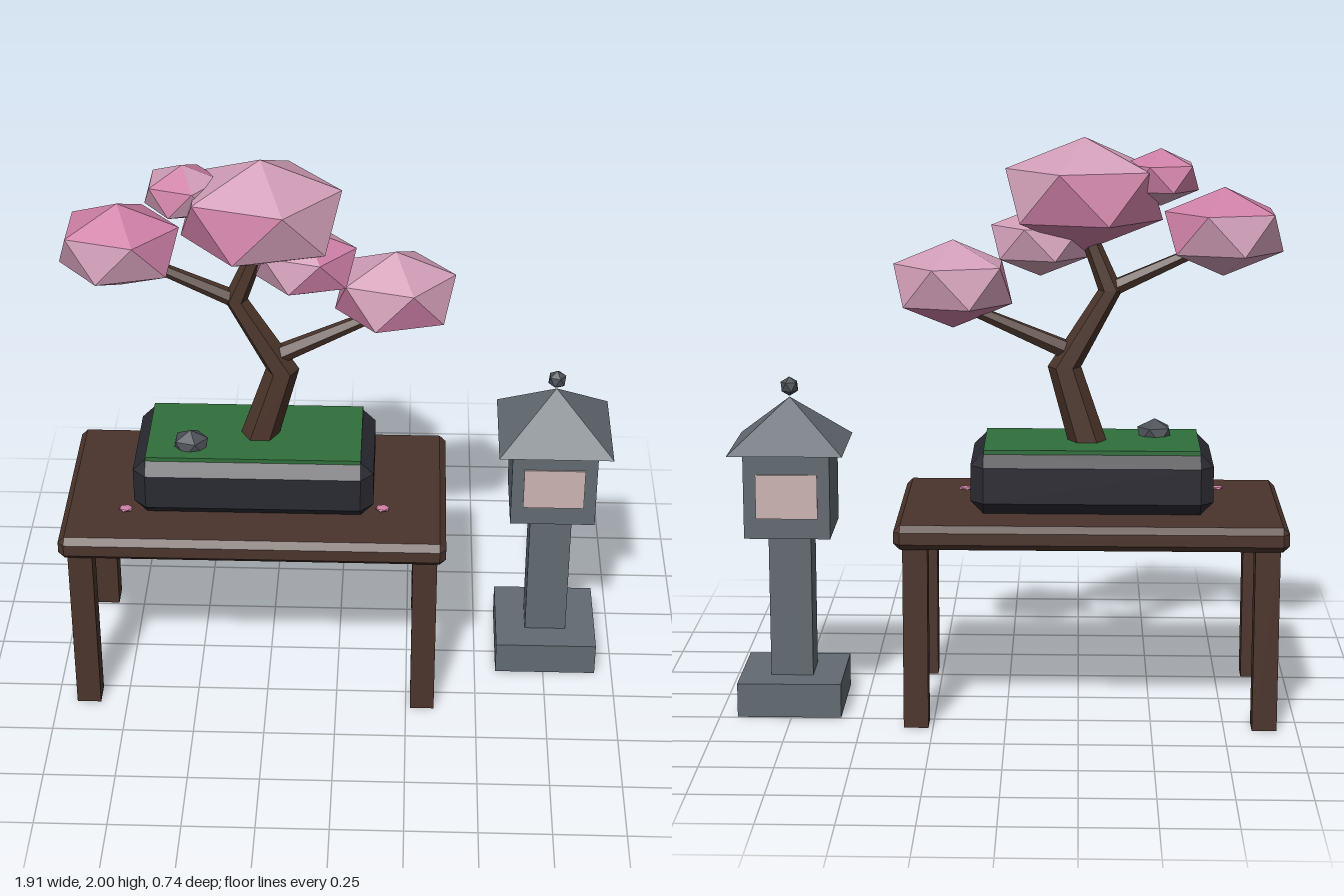
import * as THREE from 'three';
import { ConvexGeometry } from 'three/addons/geometries/ConvexGeometry.js';

const material = (name, color, side = THREE.FrontSide) =>
  new THREE.MeshStandardMaterial({ name, color, side, flatShading: true });

// Box with every edge and corner cut off
function chamferedBox(w, h, d, c) {
  const points = [];
  for (const x of [-1, 1]) for (const y of [-1, 1]) for (const z of [-1, 1]) {
    for (const axis of [0, 1, 2]) {
      const cut = [0, 1, 2].map((i) => (i === axis ? 0 : c));
      points.push(new THREE.Vector3(x * (w / 2 - cut[0]), y * (h / 2 - cut[1]), z * (d / 2 - cut[2])));
    }
  }
  return new ConvexGeometry(points);
}

// Twenty-sided lump standing on one of its corners
function lump(rx, ry, rz) {
  const g = new THREE.IcosahedronGeometry(1, 0);
  g.rotateX(-Math.atan2((1 + Math.sqrt(5)) / 2, 1));
  g.rotateY(Math.PI / 2);
  g.scale(rx, ry, rz);
  return g;
}

export function createModel() {
  const model = new THREE.Group();
  model.name = 'bonsaiDisplay';

  const wood = material('tableWood', 0x4b342c);
  const bark = material('bark', 0x4c352b, THREE.DoubleSide);
  const glaze = material('potGlaze', 0x2a2a32);
  const moss = material('moss', 0x306f3c);
  const stone = material('lanternStone', 0x626a71);
  const darkStone = material('darkStone', 0x4c5157);
  const paper = material('windowPaper', 0xccb5b3);
  const paleBlossom = material('paleBlossom', 0xd09db6);
  const deepBlossom = material('deepBlossom', 0xcd7fa5);

  function add(name, geometry, mat, x, y, z, parent = model) {
    const mesh = new THREE.Mesh(geometry, mat);
    mesh.name = name;
    mesh.position.set(x, y, z);
    parent.add(mesh);
    return mesh;
  }
  const box = (name, w, h, d, mat, x, y, z, parent) =>
    add(name, new THREE.BoxGeometry(w, h, d), mat, x, y, z, parent);

  // Table
  const table = new THREE.Group();
  table.name = 'table';
  table.position.x = -0.29;
  model.add(table);
  add('tableTop', chamferedBox(1.34, 0.085, 0.74, 0.022), wood, 0, 0.678, 0, table);
  for (const sx of [-1, 1]) for (const sz of [-1, 1]) {
    box('tableLeg', 0.085, 0.637, 0.085, wood, sx * 0.598, 0.3185, sz * 0.3, table);
  }

  // Pot with its bed of moss
  add('pot', chamferedBox(0.835, 0.215, 0.44, 0.045), glaze, -0.292, 0.8275, 0);
  box('mossBed', 0.745, 0.018, 0.36, moss, -0.292, 0.936, 0);
  add('rock', lump(0.068, 0.055, 0.06), darkStone, -0.513, 0.948, 0.09);

  // Trunk: six-sided rings, listed from the top down as x, y, z, radius
  const rings = [[-0.27, 1.68, 0, 0.03], [-0.352, 1.475, -0.005, 0.042], [-0.195, 1.205, 0, 0.058], [-0.278, 0.935, 0, 0.068]];
  const trunk = new THREE.CylinderGeometry(1, 1, 1, 6, rings.length - 1);
  const p = trunk.attributes.position;
  const lastRow = rings.length - 1;
  for (let i = 0; i < p.count; i++) {
    const [x, y, z, r] = rings[Math.round((0.5 - p.getY(i)) * lastRow)];
    p.setXYZ(i, x + p.getZ(i) * r, y, z - p.getX(i) * r);
  }
  trunk.computeVertexNormals();
  add('trunk', trunk, bark, 0, 0, 0);

  // Branches
  function branch(name, from, to, r0, r1) {
    const a = new THREE.Vector3(...from);
    const b = new THREE.Vector3(...to);
    const dir = b.clone().sub(a);
    const mid = a.clone().add(b).multiplyScalar(0.5);
    const mesh = add(name, new THREE.CylinderGeometry(r1, r0, dir.length(), 6), bark, mid.x, mid.y, mid.z);
    mesh.quaternion.setFromUnitVectors(new THREE.Vector3(0, 1, 0), dir.normalize());
  }
  branch('rightBranch', [-0.35, 1.475, 0], [-0.7, 1.635, 0], 0.03, 0.018);
  branch('leftBranch', [-0.2, 1.265, 0], [0.15, 1.42, -0.03], 0.034, 0.02);

  // Blossom clusters: centre, then radii
  const clusters = [
    [-0.26, 1.805, 0, 0.302, 0.195, 0.255],
    [-0.74, 1.678, 0, 0.229, 0.153, 0.194],
    [0.19, 1.498, -0.03, 0.229, 0.153, 0.194],
    [-0.52, 1.867, -0.025, 0.145, 0.098, 0.135],
    [-0.11, 1.64, 0.03, 0.19, 0.122, 0.16],
  ];
  clusters.forEach(([x, y, z, rx, ry, rz], n) => {
    const g = lump(rx, ry, rz);
    g.clearGroups();
    for (let f = 0; f < 20; f++) g.addGroup(f * 3, 3, (f * 7 + n) % 5 % 2);
    add('blossomCluster', g, [paleBlossom, deepBlossom], x, y, z);
  });

  // Fallen petals
  for (const [x, z] of [[-0.74, 0.18], [0.157, 0.15]]) {
    add('fallenPetal', lump(0.027, 0.008, 0.022), deepBlossom, x, 0.732, z);
  }

  // Stone lantern
  const lantern = new THREE.Group();
  lantern.name = 'stoneLantern';
  lantern.position.set(0.757, 0, -0.063);
  model.add(lantern);
  box('lanternBase', 0.362, 0.12, 0.362, stone, 0, 0.06, 0, lantern);
  box('lanternPost', 0.148, 0.52, 0.148, stone, 0, 0.378, 0, lantern);
  box('lanternHousing', 0.298, 0.302, 0.298, stone, 0, 0.785, 0, lantern);
  for (const s of [-1, 1]) {
    box('lanternWindow', 0.213, 0.155, 0.008, paper, 0, 0.783, s * 0.15, lantern);
  }
  const roof = new THREE.ConeGeometry(0.198 * Math.SQRT2, 0.17, 4);
  roof.rotateY(Math.PI / 4);
  add('lanternRoof', roof, stone, 0, 1.02, 0, lantern);
  add('lanternFinial', lump(0.034, 0.034, 0.034), darkStone, 0, 1.142, 0, lantern);

  return model;
}
